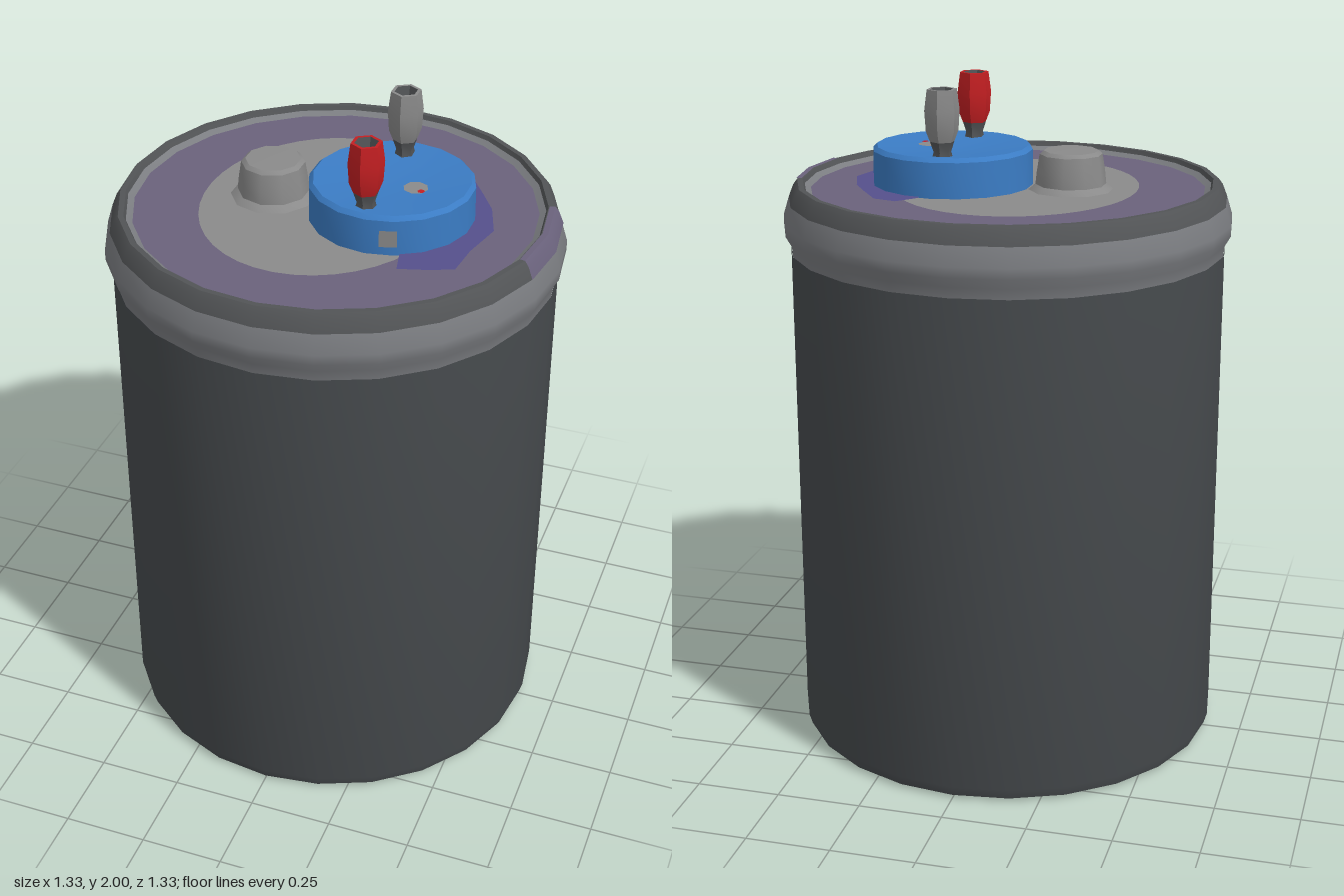
import * as THREE from 'three';
import { toCreasedNormals } from 'three/addons/utils/BufferGeometryUtils.js';

const paint = (name, color) => {
  const m = new THREE.MeshStandardMaterial({ color });
  m.name = name;
  return m;
};

export function createModel() {
  const model = new THREE.Group();
  model.name = 'canister';

  const charcoal = paint('charcoal', 0x474b4e);
  const bandGrey = paint('bandGrey', 0x7b7d81);
  const rimGrey = paint('rimGrey', 0x525456);
  const purple = paint('purple', 0x6a627c);
  const violet = paint('violet', 0x55508c);
  const lidGrey = paint('lidGrey', 0x8a8a8a);
  const blue = paint('blue', 0x3b7cc4);
  const red = paint('red', 0xc41f22);

  const add = (name, geometry, material, x = 0, y = 0, z = 0, parent = model) => {
    const mesh = new THREE.Mesh(geometry, material);
    mesh.name = name;
    mesh.position.set(x, y, z);
    parent.add(mesh);
    return mesh;
  };

  // Turned part from [radius, height] pairs, smooth around and sharp at the edges
  const turned = (profile, sides = 24, start = 0, sweep = Math.PI * 2) =>
    toCreasedNormals(new THREE.LatheGeometry(
      profile.map(([r, y]) => new THREE.Vector2(r, y)), sides, start, sweep), 0.65);

  // Can body with a small rounded foot
  add('body', turned([[0, 0.005], [0.615, 0.005], [0.637, 0.015], [0.646, 0.045], [0.646, 1.52]]), charcoal);

  // Bulging collar and the darker lip above it
  add('collar', turned([[0.644, 1.51], [0.648, 1.55], [0.665, 1.58], [0.665, 1.61], [0.648, 1.665]]), bandGrey);
  const lip = [[0.648, 1.665], [0.634, 1.7], [0.622, 1.716], [0.606, 1.716], [0.6, 1.703]];
  add('lip', turned(lip), rimGrey);
  add('lipStain', turned(lip.slice(0, 4).map(([r, y]) => [r + 0.003, y + 0.002]), 2,
    Math.PI * 5 / 12, Math.PI / 6), purple);

  // Recessed lid: pale edge, purple ring, grey middle
  add('lidEdge', turned([[0.6, 1.703], [0.582, 1.692]]), bandGrey);
  add('lidRing', turned([[0.582, 1.692], [0, 1.692]]), purple);
  const middle = add('lidMiddle', new THREE.CircleGeometry(1, 40).rotateX(-Math.PI / 2), lidGrey, -0.03, 1.696, 0);
  middle.scale.set(0.355, 1, 0.415);

  // Violet stain beside the blue cap
  const stain = new THREE.Shape();
  stain.setFromPoints([[0.2, 0.25], [0.25, 0.31], [0.32, 0.29], [0.38, 0.2], [0.43, 0.12], [0.47, 0],
    [0.44, -0.13], [0.43, -0.24], [0.35, -0.27], [0.28, -0.29], [0.26, -0.2]].map(p => new THREE.Vector2(...p)));
  add('stain', new THREE.ShapeGeometry(stain).rotateX(-Math.PI / 2), violet, 0, 1.699, 0);

  // Blue cap with a shallow dished top
  const capX = 0.168;
  add('cap', turned([[0.238, 1.69], [0.237, 1.8], [0.225, 1.812], [0.12, 1.802], [0, 1.795]], 18), blue, capX, 0, -0.003);
  add('capSpot', new THREE.CircleGeometry(0.036, 8).rotateX(-Math.PI / 2), lidGrey, 0.245, 1.804, 0.02);
  add('capDot', new THREE.CircleGeometry(0.011, 6).rotateX(-Math.PI / 2), red, 0.267, 1.807, 0.04);
  const patch = add('capFrontPatch', new THREE.PlaneGeometry(0.05, 0.05), lidGrey, 0.235, 1.75, 0.231);
  patch.rotation.y = 0.28;

  // Grey knob with a flared base
  add('knob', turned([[0.13, 1.692], [0.104, 1.712], [0.1, 1.75], [0.092, 1.8], [0.08, 1.81], [0, 1.812]], 10),
    lidGrey, -0.19, 0, 0);

  // Two hollow terminals on dark necks
  for (const [side, material] of [[1, red], [-1, lidGrey]]) {
    const terminal = new THREE.Group();
    terminal.name = side > 0 ? 'redTerminal' : 'greyTerminal';
    terminal.position.set(0.15, 0, side * 0.17);
    add('neck', turned([[0.034, 1.79], [0.026, 1.82], [0.036, 1.85]], 6), rimGrey, 0, 0, 0, terminal);
    add('sleeve', turned([[0.028, 1.83], [0.048, 1.88], [0.052, 1.94], [0.044, 2.0], [0.034, 2.0]], 6), material, 0, 0, 0, terminal);
    add('socket', turned([[0.034, 2.0], [0.024, 1.96], [0, 1.95]], 6), rimGrey, 0, 0, 0, terminal);
    model.add(terminal);
  }

  return model;
}
